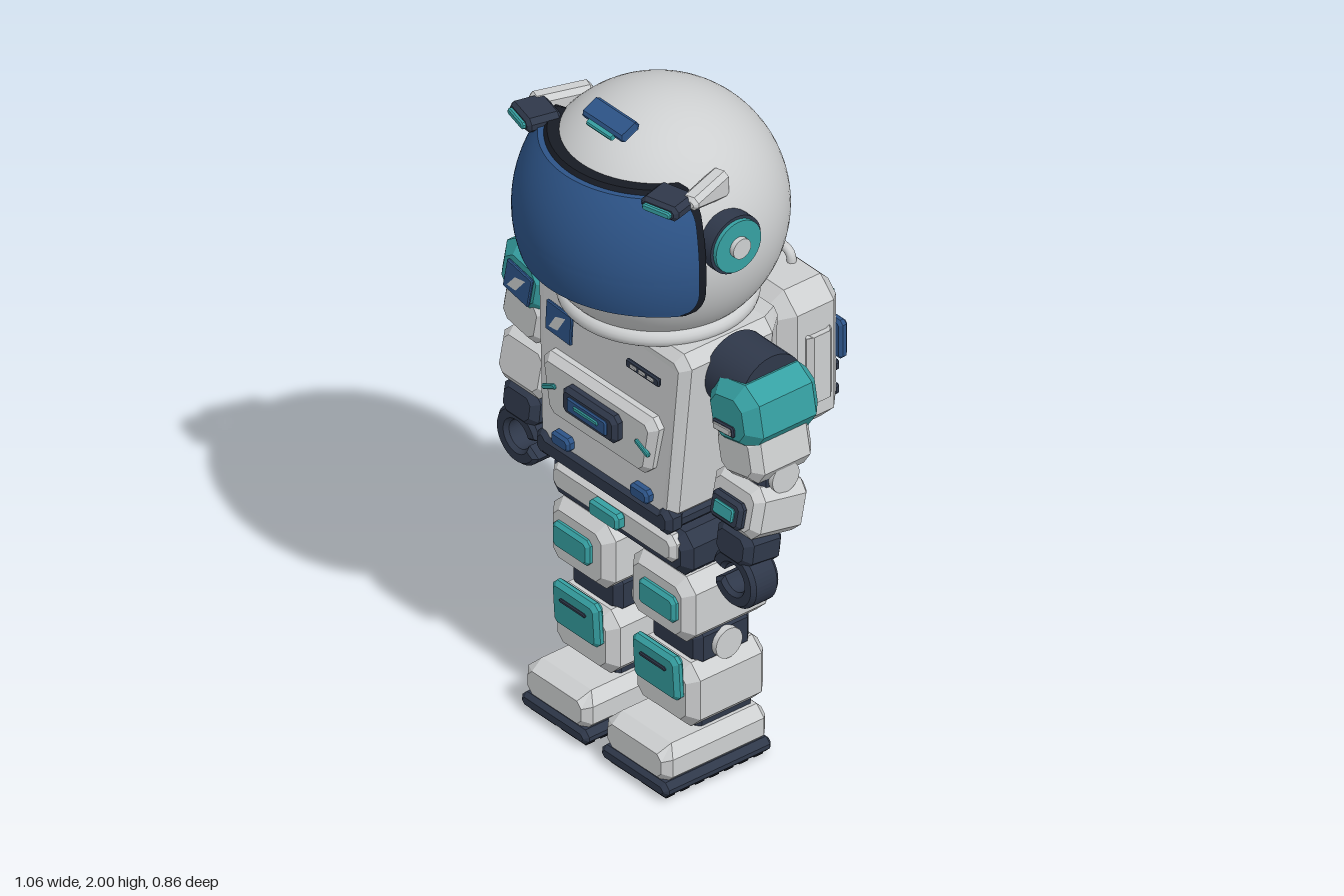
import * as THREE from 'three';
import { toCreasedNormals } from 'three/addons/utils/BufferGeometryUtils.js';

const paint = (name, color) => {
  const m = new THREE.MeshStandardMaterial({ color });
  m.name = name;
  return m;
};

// Box with every edge chamfered by c
function chamferBox(w, h, d, c = 0.02) {
  const x = w / 2 - c, y = h / 2 - c, k = c * 0.8;
  const pts = [[x - k, -y], [x, k - y], [x, y - k], [x - k, y], [k - x, y], [-x, y - k], [-x, k - y], [k - x, -y]];
  const shape = new THREE.Shape(pts.map((p) => new THREE.Vector2(...p)));
  const g = new THREE.ExtrudeGeometry(shape, { depth: d - 2 * c, bevelEnabled: true, bevelSize: c, bevelThickness: c, bevelSegments: 1 });
  return g.translate(0, 0, c - d / 2);
}

// Apply a rule to every vertex, then refresh the flat normals
function warp(g, rule) {
  const p = g.attributes.position, v = new THREE.Vector3();
  for (let i = 0; i < p.count; i++) {
    rule(v.fromBufferAttribute(p, i));
    p.setXYZ(i, v.x, v.y, v.z);
  }
  g.computeVertexNormals();
  return g;
}

// Curved shell wrapped on a sphere, with rounded corners
function shell(r0, r1, y0, y1, angle, corner) {
  const half = (y1 - y0) / 2, mid = (y1 + y0) / 2;
  const g = warp(new THREE.BoxGeometry(2, 2, 2, 40, 28, 1), (v) => {
    const e = Math.max(0, Math.abs(v.y) * half - (half - corner));
    const a = v.x * (angle - 2 * (corner - Math.sqrt(Math.max(0, corner * corner - e * e))));
    const y = mid + v.y * half, r = v.z > 0 ? r1 : r0;
    const q = Math.sqrt(r * r - y * y);
    v.set(q * Math.sin(a), y, q * Math.cos(a));
  });
  return toCreasedNormals(g, 0.6);
}

export function createModel() {
  const white = paint('shell white', 0xcdcfd0);
  const dark = paint('dark slate', 0x2f384a);
  const teal = paint('teal', 0x36a0a2);
  const blue = paint('deep blue', 0x2d5488);
  const black = paint('seal black', 0x171b24);

  const root = new THREE.Group();
  root.name = 'spaceExplorer';
  const section = (name) => {
    const g = new THREE.Group();
    g.name = name;
    root.add(g);
    return g;
  };
  const add = (parent, name, geo, mat, pos, rot = [0, 0, 0]) => {
    const m = new THREE.Mesh(geo, mat);
    m.name = name;
    m.position.set(...pos);
    m.rotation.set(...rot);
    parent.add(m);
    return m;
  };
  const box = (parent, name, mat, size, pos, c, rot) => add(parent, name, chamferBox(...size, c), mat, pos, rot);
  const disc = (parent, name, mat, r, len, pos) =>
    add(parent, name, new THREE.CylinderGeometry(r, r, len, 32), mat, pos, [0, 0, Math.PI / 2]);

  // Helmet, visor and collar
  const head = section('helmet');
  const C = [0, 1.65, 0.04];
  add(head, 'helmetDome', new THREE.SphereGeometry(0.348, 64, 40), white, C);
  add(head, 'visorSeal', shell(0.34, 0.372, -0.13, 0.232, 1.22, 0.07), black, C);
  add(head, 'visor', shell(0.345, 0.385, -0.118, 0.22, 1.16, 0.07), blue, C);
  add(head, 'collarRing', new THREE.TorusGeometry(0.243, 0.026, 16, 64), white, [0, 1.388, 0.04], [Math.PI / 2, 0, 0]);
  add(head, 'neckSeal', new THREE.CylinderGeometry(0.22, 0.22, 0.07, 40), dark, [0, 1.37, 0.03]);
  box(head, 'crownSensor', blue, [0.18, 0.028, 0.065], [0, 1.98, 0.202], 0.008, [0.45, 0, 0]);
  box(head, 'crownSensorLens', teal, [0.11, 0.014, 0.02], [0, 1.963, 0.235], 0.004, [0.45, 0, 0]);
  for (const s of [-1, 1]) {
    disc(head, 'earSeal', dark, 0.086, 0.05, [s * 0.333, 1.715, 0.075]);
    disc(head, 'earDisc', teal, 0.077, 0.05, [s * 0.345, 1.715, 0.075]);
    disc(head, 'earHub', white, 0.03, 0.04, [s * 0.365, 1.715, 0.075]);
    const arm = warp(chamferBox(0.055, 0.085, 0.17, 0.01), (v) => { if (v.y < 0 && v.z > 0) v.y += 0.045; });
    add(head, 'lampArm', arm, white, [s * 0.292, 1.855, 0.125], [0, s * 0.32, 0]);
    box(head, 'lamp', dark, [0.12, 0.045, 0.1], [s * 0.272, 1.873, 0.23], 0.01, [0, s * 0.25, 0]);
    box(head, 'lampLens', teal, [0.09, 0.02, 0.015], [s * 0.285, 1.873, 0.283], 0.004, [0, s * 0.25, 0]);
  }

  // Torso: tapers to the waist, sides cut in towards the back
  const torso = section('torso');
  const body = warp(chamferBox(0.62, 0.53, 0.39, 0.025), (v) => {
    if (v.z < -0.18) v.x *= 0.85;
    else if (v.z < 0) v.z = -0.12;
    v.x *= 0.94 + 0.24 * v.y;
    if (v.z > 0 && v.y > 0.2) v.z -= 0.015;
  });
  add(torso, 'torsoShell', body, white, [0, 1.11, 0.028]);
  box(torso, 'torsoTrim', dark, [0.54, 0.075, 0.4], [0, 0.845, 0.035], 0.02);
  for (const s of [-1, 1]) for (const z of [0.205, -0.135])
    box(torso, 'trimCorner', dark, [0.06, 0.08, 0.06], [s * 0.245, 0.85, z], 0.015);
  const panel = warp(chamferBox(0.44, 0.19, 0.06, 0.02), (v) => { v.x *= 1 + 0.9 * v.y; });
  add(torso, 'chestPanel', panel, white, [0, 1.065, 0.222]);
  box(torso, 'controlFrame', dark, [0.22, 0.085, 0.04], [0, 1.08, 0.262], 0.012);
  box(torso, 'controlScreen', blue, [0.16, 0.045, 0.012], [0, 1.08, 0.282], 0.004);
  box(torso, 'controlLight', teal, [0.1, 0.014, 0.01], [0, 1.083, 0.287], 0.003);
  for (const s of [-1, 1]) {
    box(torso, 'chestSlash', teal, [0.06, 0.014, 0.012], [s * 0.19, 1.065, 0.253], 0.003, [0, 0, s * -0.45]);
    box(torso, 'waistClip', blue, [0.075, 0.042, 0.035], [s * 0.16, 0.9, 0.228], 0.008);
  }
  // Small plain badge with a pale mark
  const badge = (parent, pos, rot) => {
    const g = new THREE.Group();
    g.name = 'badge';
    g.position.set(...pos);
    g.rotation.set(...rot);
    parent.add(g);
    box(g, 'badgePlate', blue, [0.105, 0.095, 0.01], [0, 0, 0], 0.003);
    const leaf = new THREE.Shape([[-0.035, -0.03], [0, -0.025], [0.03, 0.03], [-0.01, 0.015]].map((p) => new THREE.Vector2(...p)));
    add(g, 'badgeMark', new THREE.ShapeGeometry(leaf), white, [0, 0, 0.0065]);
  };
  badge(torso, [-0.18, 1.26, 0.226], [0, 0, -0.06]);
  box(torso, 'chestStrip', dark, [0.135, 0.028, 0.012], [0.16, 1.275, 0.224], 0.004);
  for (let i = 0; i < 3; i++) box(torso, 'chestStripLight', white, [0.026, 0.011, 0.006], [0.125 + i * 0.035, 1.275, 0.231], 0.002);

  // Waist and belt
  const waist = section('waist');
  box(waist, 'waistCore', dark, [0.4, 0.12, 0.24], [0, 0.78, 0.02], 0.02);
  box(waist, 'pelvis', dark, [0.565, 0.135, 0.33], [0, 0.72, 0.015], 0.025);
  box(waist, 'beltPlate', white, [0.5, 0.085, 0.05], [0, 0.738, 0.175], 0.015);
  box(waist, 'buckle', teal, [0.12, 0.05, 0.035], [0, 0.745, 0.215], 0.008);

  // Backpack
  const pack = section('backpack');
  box(pack, 'packMount', dark, [0.4, 0.39, 0.07], [0, 1.12, -0.18], 0.015);
  box(pack, 'packShell', white, [0.48, 0.45, 0.205], [0, 1.125, -0.297], 0.04);
  const curve = new THREE.CatmullRomCurve3([[-0.095, 1.335], [-0.085, 1.375], [0, 1.385], [0.085, 1.375], [0.095, 1.335]]
    .map(([x, y]) => new THREE.Vector3(x, y, -0.338)));
  add(pack, 'packHandle', new THREE.TubeGeometry(curve, 32, 0.013, 10), white, [0, 0, 0]);
  box(pack, 'packStripe', teal, [0.38, 0.04, 0.008], [0, 1.265, -0.401], 0.002);
  for (let r = 0; r < 4; r++) for (let i = 0; i < 7; i++)
    box(pack, 'packVent', black, [0.021, 0.016, 0.012], [-0.084 + i * 0.028, 1.03 + r * 0.024, -0.402], 0.002);
  for (const s of [-1, 1]) {
    box(pack, 'packSidePod', white, [0.05, 0.25, 0.085], [s * 0.234, 1.115, -0.305], 0.015);
    box(pack, 'packClip', blue, [0.055, 0.12, 0.028], [s * 0.195, 1.135, -0.411], 0.008);
    box(pack, 'packClipLight', teal, [0.03, 0.085, 0.01], [s * 0.195, 1.135, -0.427], 0.003);
    for (const y of [0.97, 1.045]) box(pack, 'packBolt', dark, [0.03, 0.035, 0.02], [s * 0.185, y, -0.406], 0.006);
  }

  // Arms
  for (const s of [-1, 1]) {
    const arm = section(s > 0 ? 'leftArm' : 'rightArm');
    const lean = [0, 0, s * 0.2];
    disc(arm, 'shoulderJoint', dark, 0.105, 0.15, [s * 0.375, 1.285, 0.03]);
    box(arm, 'shoulderPad', teal, [0.2, 0.19, 0.25], [s * 0.425, 1.24, 0.035], 0.035, lean);
    box(arm, 'upperArm', white, [0.175, 0.16, 0.205], [s * 0.437, 1.125, 0.043], 0.025, lean);
    box(arm, 'elbow', dark, [0.15, 0.1, 0.13], [s * 0.43, 1.045, 0.045], 0.015);
    disc(arm, 'elbowPivot', white, 0.046, 0.17, [s * 0.436, 1.05, 0.04]);
    box(arm, 'forearm', white, [0.2, 0.155, 0.185], [s * 0.432, 0.95, 0.058], 0.022, [-0.2, 0, 0]);
    box(arm, 'wrist', dark, [0.145, 0.11, 0.13], [s * 0.435, 0.835, 0.095], 0.02, [-0.12, 0, 0]);
    // Open ring-shaped grip facing the body
    const grip = new THREE.Shape();
    grip.absarc(0, 0, 0.077, 0.35, Math.PI * 2 - 0.55, false);
    grip.absarc(0, 0, 0.052, Math.PI * 2 - 0.55, 0.35, true);
    const hand = new THREE.ExtrudeGeometry(grip, { depth: 0.07, curveSegments: 20, bevelEnabled: true, bevelSize: 0.01, bevelThickness: 0.012, bevelSegments: 1 });
    hand.translate(0, 0, -0.035);
    if (s > 0) hand.rotateY(Math.PI);
    add(arm, 'hand', hand, dark, [s * 0.44, 0.738, 0.11]);
    if (s < 0) badge(arm, [-0.42, 1.235, 0.165], [0, 0, -0.2]);
    else {
      box(arm, 'shoulderLabelFrame', dark, [0.085, 0.032, 0.012], [0.415, 1.205, 0.163], 0.004, [0, 0, 0.1]);
      box(arm, 'shoulderLabel', white, [0.07, 0.02, 0.006], [0.415, 1.205, 0.17], 0.002, [0, 0, 0.1]);
      box(arm, 'wristScreenFrame', dark, [0.125, 0.08, 0.03], [0.43, 0.955, 0.16], 0.01, [-0.2, 0, 0]);
      box(arm, 'wristScreen', teal, [0.08, 0.04, 0.012], [0.43, 0.958, 0.176], 0.004, [-0.2, 0, 0]);
    }
  }

  // Legs and boots
  for (const s of [-1, 1]) {
    const leg = section(s > 0 ? 'leftLeg' : 'rightLeg');
    const x = s * 0.163;
    box(leg, 'thigh', white, [0.252, 0.205, 0.295], [x, 0.545, 0.033], 0.028);
    box(leg, 'thighPatch', teal, [0.15, 0.08, 0.03], [s * 0.175, 0.55, 0.183], 0.01);
    box(leg, 'knee', dark, [0.2, 0.13, 0.19], [x, 0.405, 0.03], 0.02);
    disc(leg, 'kneePivot', white, 0.045, 0.235, [x, 0.402, 0.032]);
    box(leg, 'shin', white, [0.252, 0.2, 0.265], [x, 0.27, 0.033], 0.028);
    box(leg, 'kneePad', teal, [0.185, 0.14, 0.035], [x, 0.332, 0.175], 0.012, [0.06, 0, 0]);
    box(leg, 'kneePadSlot', dark, [0.105, 0.012, 0.012], [x, 0.355, 0.194], 0.003);
    box(leg, 'ankle', dark, [0.18, 0.06, 0.19], [x, 0.162, 0.02], 0.012);
    const boot = warp(chamferBox(0.262, 0.115, 0.355, 0.022), (v) => { if (v.z > 0.1 && v.y > 0.05) v.z -= 0.02; });
    add(leg, 'boot', boot, white, [x, 0.1, 0.08]);
    box(leg, 'sole', dark, [0.272, 0.046, 0.368], [x, 0.034, 0.08], 0.012);
    for (let i = 0; i < 7; i++) for (const side of [-1, 1])
      box(leg, 'tread', black, [0.11, 0.02, 0.034], [x + side * 0.062, 0.01, -0.07 + i * 0.05], 0.004);
  }
  return root;
}
